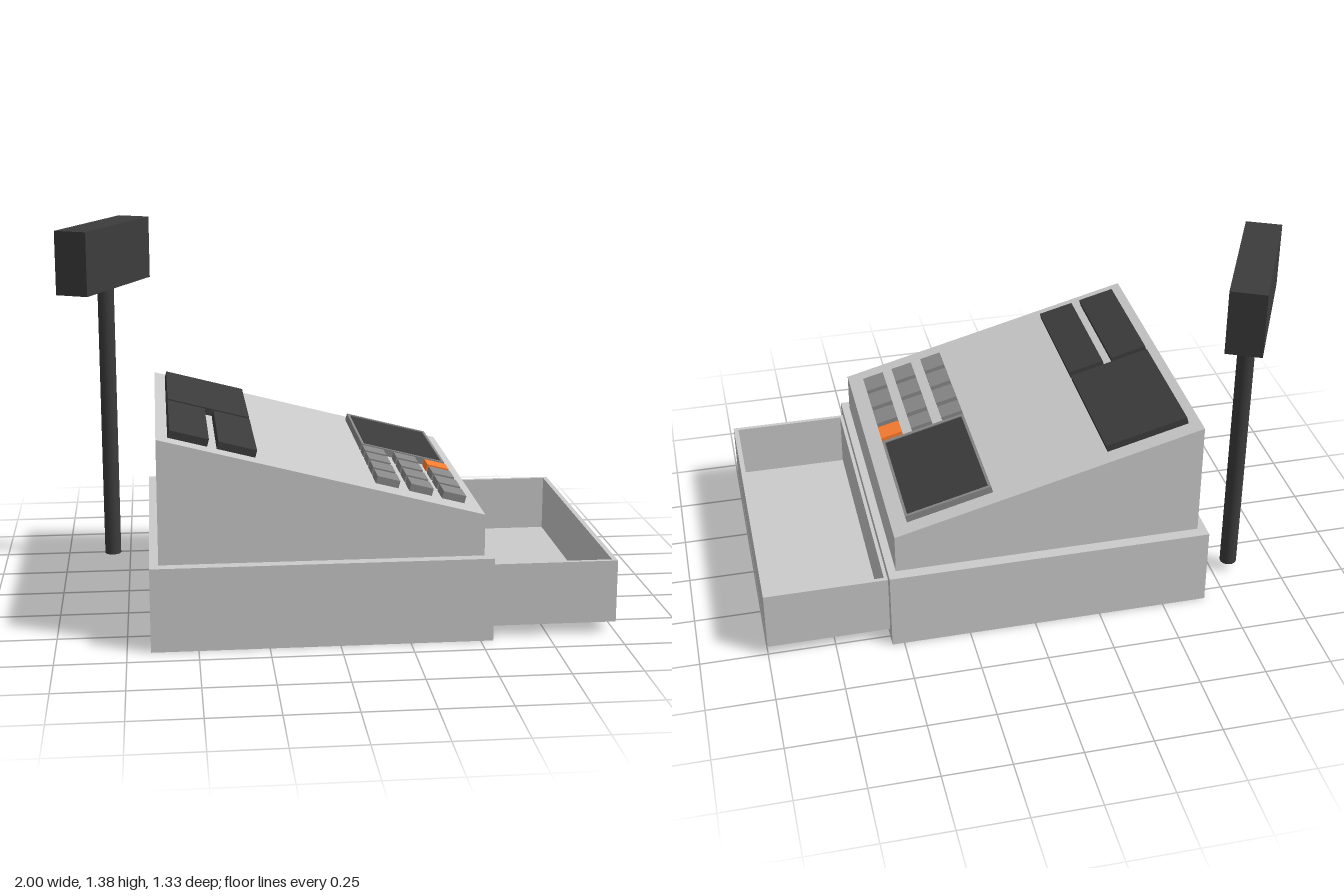
import * as THREE from 'three';

const material = (color) => new THREE.MeshStandardMaterial({ color, flatShading: true });
const grey = material(0xcccccc);
const keyGrey = material(0x8a8a8a);
const dark = material(0x3c3c3c);
const orange = material(0xff7f32);

// Box given by its limits on each axis
function box(name, parent, mat, [x0, x1], [y0, y1], [z0, z1]) {
  const mesh = new THREE.Mesh(new THREE.BoxGeometry(x1 - x0, y1 - y0, z1 - z0), mat);
  mesh.position.set((x0 + x1) / 2, (y0 + y1) / 2, (z0 + z1) / 2);
  mesh.name = name;
  parent.add(mesh);
  return mesh;
}

function rectPath(target, x0, x1, y0, y1) {
  target.moveTo(x0, y0);
  target.lineTo(x1, y0);
  target.lineTo(x1, y1);
  target.lineTo(x0, y1);
  target.closePath();
  return target;
}

// Upright rectangular frame around a hole, from y0 to y1
function frame(name, parent, mat, [x0, x1], [y0, y1], [z0, z1], rimX, rimZ) {
  const shape = rectPath(new THREE.Shape(), x0, x1, -z1, -z0);
  shape.holes.push(rectPath(new THREE.Path(), x0 + rimX, x1 - rimX, rimZ - z1, -z0 - rimZ));
  const geometry = new THREE.ExtrudeGeometry(shape, { depth: y1 - y0, bevelEnabled: false });
  geometry.rotateX(-Math.PI / 2).translate(0, y0, 0);
  const mesh = new THREE.Mesh(geometry, mat);
  mesh.name = name;
  parent.add(mesh);
}

export function createModel() {
  const model = new THREE.Group();
  model.name = 'cashRegister';

  // Base
  box('base', model, grey, [-0.667, 0.545], [0, 0.305], [-0.55, 0.665]);

  // Wedge-shaped body with a sloping top
  const left = -0.635, right = 0.515, high = 0.755, low = 0.455;
  const profile = new THREE.Shape();
  profile.moveTo(left, 0.3);
  profile.lineTo(right, 0.3);
  profile.lineTo(right, low);
  profile.lineTo(left, high);
  profile.closePath();
  const bodyGeometry = new THREE.ExtrudeGeometry(profile, { depth: 1.13, bevelEnabled: false });
  const body = new THREE.Mesh(bodyGeometry.translate(0, 0, -0.506), grey);
  body.name = 'body';
  model.add(body);

  // Open cash drawer
  const drawer = new THREE.Group();
  drawer.name = 'drawer';
  model.add(drawer);
  frame('drawerWalls', drawer, grey, [0.54, 1], [0.04, 0.27], [-0.506, 0.624], 0.018, 0.016);
  box('drawerFloor', drawer, grey, [0.545, 0.995], [0.0405, 0.055], [-0.5, 0.618]);

  // Sloping panel: local x runs down the slope, local y is its normal
  const panel = new THREE.Group();
  panel.name = 'slopingPanel';
  const tilt = Math.atan2(high - low, right - left);
  panel.position.set(left, high, 0);
  panel.rotation.z = -tilt;
  model.add(panel);
  const thick = 0.027;
  const span = (x0, x1) => [
    (x0 - left) / Math.cos(tilt),
    (x1 - left - thick * Math.sin(tilt)) / Math.cos(tilt),
  ];
  const raised = [-0.005, thick];

  // Dark plates along the high edge
  box('largePlate', panel, dark, span(-0.594, -0.283), raised, [-0.443, 0.057]);
  box('narrowPlate', panel, dark, span(-0.594, -0.45), raised, [0.08, 0.554]);
  box('narrowPlate', panel, dark, span(-0.424, -0.283), raised, [0.08, 0.554]);

  // Screen with a thin rim
  const [s0, s1] = span(0.138, 0.464);
  frame('screenFrame', panel, keyGrey, [s0, s1], raised, [-0.443, 0.057], 0.01, 0.012);
  box('screen', panel, dark, [s0 + 0.005, s1 - 0.005], [0, thick - 0.004], [-0.437, 0.051]);

  // Keypad, one key coloured
  const columns = [[0.138, 0.226], [0.258, 0.346], [0.376, 0.464]];
  const rows = [[0.078, 0.158], [0.183, 0.28], [0.306, 0.406], [0.43, 0.527]];
  columns.forEach(([x0, x1], i) => rows.forEach((z, j) => {
    const accent = i === 2 && j === 0;
    box(accent ? 'enterKey' : 'key', panel, accent ? orange : keyGrey, span(x0, x1), raised, z);
  }));

  // Customer display on a pole
  const pole = new THREE.Mesh(
    new THREE.CylinderGeometry(0.032, 0.032, 1.1, 20),
    new THREE.MeshStandardMaterial({ color: 0x3c3c3c })
  );
  pole.position.set(-0.818, 0.585, -0.383);
  pole.name = 'displayPole';
  model.add(pole);
  const display = box('customerDisplay', model, dark,
    [-0.888, -0.756], [1.13, 1.375], [-0.664, -0.121]);
  display.rotation.y = -0.448;

  return model;
}
